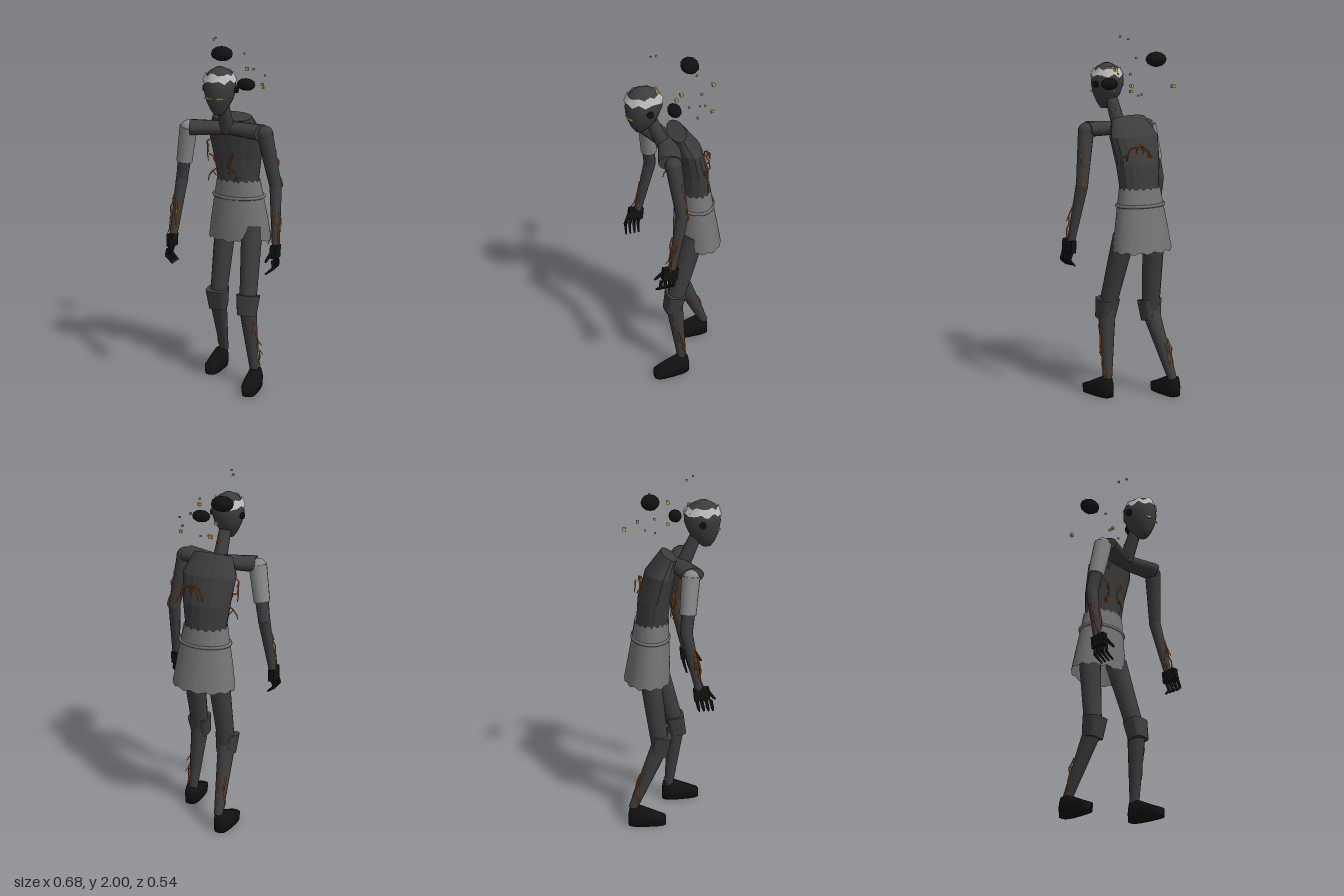
import * as THREE from 'three';

const mat = (name, color, double) => {
  const m = new THREE.MeshStandardMaterial({ color });
  m.name = name;
  if (double) m.side = THREE.DoubleSide;
  return m;
};
const V = (p) => new THREE.Vector3(...p);

export function createModel() {
  const M = {
    body: mat('charcoal body', 0x3c3c3c),
    cloth: mat('grey cloth', 0x747474, true),
    sleeve: mat('pale sleeve', 0x888888, true),
    wrap: mat('light head wrap', 0xb8b8b8, true),
    black: mat('soot black', 0x111111),
    ember: mat('ember orange', 0xc2621c),
    gold: mat('dull gold', 0xc8a455),
  };
  const root = new THREE.Group();
  let seed = 7;
  const rnd = () => ((seed = (seed * 16807) % 2147483647) / 2147483647) * 2 - 1;

  const add = (name, geo, material, pos = [0, 0, 0], parent = root) => {
    const m = new THREE.Mesh(geo, material);
    m.name = name;
    m.position.set(...pos);
    parent.add(m);
    return m;
  };

  // Surface through elliptical rings [y, cz, rx, rz], bottom to top.
  // lift(i, a) shifts ring heights; p < 1 squares the outline.
  function loft(rings, { n = 20, capped = true, lift = () => 0, p = 1, flat = false } = {}) {
    const pos = [], idx = [];
    const pw = (v) => Math.sign(v) * Math.abs(v) ** p;
    rings.forEach(([y, cz, rx, rz], i) => {
      for (let j = 0; j < n; j++) {
        const a = (j / n) * Math.PI * 2;
        pos.push(rx * pw(Math.sin(a)), y + lift(i, a, j), cz + rz * pw(Math.cos(a)));
      }
    });
    for (let i = 0; i < rings.length - 1; i++)
      for (let j = 0; j < n; j++) {
        const k = (j + 1) % n, a = i * n + j, b = i * n + k;
        idx.push(a, b, b + n, a, b + n, a + n);
      }
    if (capped) {
      const top = (rings.length - 1) * n;
      for (let j = 1; j < n - 1; j++) idx.push(0, j + 1, j, top, top + j, top + j + 1);
    }
    let g = new THREE.BufferGeometry();
    g.setAttribute('position', new THREE.Float32BufferAttribute(pos, 3));
    g.setIndex(idx);
    if (flat) g = g.toNonIndexed();
    g.computeVertexNormals();
    return g;
  }

  // Tapered cylinder from a to b
  function limb(name, a, b, ra, rb, material, sides = 14, parent = root) {
    const A = V(a), d = V(b).sub(A);
    const m = add(name, new THREE.CylinderGeometry(rb, ra, d.length(), sides), material, [0, 0, 0], parent);
    m.position.copy(A).addScaledVector(d, 0.5);
    m.quaternion.setFromUnitVectors(new THREE.Vector3(0, 1, 0), d.normalize());
    return m;
  }
  const ball = (name, c, r, material) => add(name, new THREE.SphereGeometry(r, 14, 10), material, c);

  // Glowing crack: a jittered chain of thin sticks along a few points, with short branches
  function crack(name, points, jitter = 0.012, steps = 3) {
    const g = new THREE.Group();
    g.name = name;
    root.add(g);
    let prev = points[0];
    for (let s = 1; s < points.length; s++)
      for (let k = 1; k <= steps; k++) {
        const q = points[s - 1].map((v, i) => v + (points[s][i] - v) * (k / steps) + rnd() * jitter);
        limb('crackPiece', prev, q, 0.004, 0.004, M.ember, 5, g);
        if (k % 2) limb('crackBranch', q, [q[0] + rnd() * 0.02, q[1] - 0.03, q[2] + rnd() * 0.02], 0.0035, 0.002, M.ember, 5, g);
        prev = q;
      }
  }

  // Stooped torso
  add('torso', loft([
    [1.15, -0.097, 0.115, 0.088], [1.31, -0.085, 0.138, 0.09], [1.46, -0.05, 0.158, 0.082],
    [1.555, -0.003, 0.115, 0.042],
  ], { n: 16, flat: true, lift: (i, a) => (i === 3 ? -0.02 * Math.cos(a) : 0) }), M.body);

  // Ragged skirt with a notch at the front, and its belt
  add('skirt', loft([
    [0.84, -0.125, 0.182, 0.128], [0.96, -0.115, 0.165, 0.116], [1.09, -0.105, 0.142, 0.102], [1.185, -0.098, 0.124, 0.094],
  ], {
    n: 48, capped: false,
    lift: (i, a, j) => {
      if (i === 3) return 0.009 * Math.sin(j * 2.3);
      return i === 0 ? 0.007 * Math.sin(j * 1.7) + 0.05 * Math.exp(-(((a - 0.55) / 0.25) ** 4)) : 0;
    },
  }), M.cloth);
  const belt = add('belt', new THREE.TorusGeometry(1, 0.06, 8, 32), M.cloth, [0, 1.09, -0.105]);
  belt.rotation.x = Math.PI / 2;
  belt.scale.set(0.146, 0.104, 0.16);

  // Neck and head
  limb('neck', [0, 1.49, 0.07], [0, 1.65, 0.14], 0.04, 0.034, M.body);
  add('head', loft([
    [1.6, 0.2, 0.022, 0.025], [1.63, 0.195, 0.045, 0.052], [1.68, 0.185, 0.071, 0.083], [1.74, 0.178, 0.087, 0.1],
    [1.79, 0.176, 0.081, 0.095], [1.83, 0.18, 0.057, 0.067], [1.853, 0.182, 0.018, 0.02],
  ]), M.body);
  add('headWrap', loft([[1.78, 0.177, 0.09, 0.105], [1.82, 0.18, 0.071, 0.083]], {
    n: 18, capped: false, lift: (i, a, j) => 0.012 * Math.sin(j * 2.6 + i),
  }), M.wrap);
  add('mouth', new THREE.BoxGeometry(0.035, 0.018, 0.03), M.black, [0, 1.615, 0.212]);
  for (const s of [1, -1]) {
    limb('ear', [s * 0.08, 1.735, 0.17], [s * 0.097, 1.735, 0.17], 0.018, 0.018, M.black);
    const eye = add('eye', new THREE.BoxGeometry(0.04, 0.008, 0.009), M.gold, [s * 0.033, 1.695, 0.264]);
    eye.rotation.y = s * 0.35;
  }

  // Shoulders, arms and hands
  for (const s of [1, -1]) {
    const side = s > 0 ? 'left' : 'right';
    const bar = limb(side + 'Collarbone', [0, 1.5, 0.045], [s * 0.205, 1.498, 0.1], 0.055, 0.066, M.body);
    // flatten the bar vertically
    const flat = new THREE.Group();
    flat.name = side + 'Shoulder';
    flat.position.y = 1.5;
    flat.scale.y = 0.65;
    bar.position.y -= 1.5;
    root.add(flat);
    flat.add(bar);

    const sh = [s * 0.222, 1.49, 0.09], el = [s * 0.275, 1.2, 0.06], wr = [s * 0.302, 0.89, 0.125];
    ball(side + 'ShoulderJoint', sh, 0.046, s > 0 ? M.body : M.sleeve);
    limb(side + 'UpperArm', sh, el, 0.044, 0.033, M.body);
    if (s < 0) limb('sleeve', [-0.22, 1.5, 0.09], [-0.256, 1.3, 0.07], 0.05, 0.045, M.sleeve);
    ball(side + 'Elbow', el, 0.034, M.body);
    limb(side + 'Forearm', el, wr, 0.034, 0.022, M.body);

    add(side + 'Palm', new THREE.BoxGeometry(0.034, 0.07, 0.085), M.black, [s * 0.304, 0.86, 0.14]).rotation.x = -0.1;
    for (let f = 0; f < 4; f++) {
      const z = 0.115 + f * 0.025;
      const mid = [s * 0.316, 0.782, z + 0.008];
      limb(side + 'Finger', [s * 0.307, 0.822, z], mid, 0.01, 0.009, M.black, 7);
      limb(side + 'Fingertip', mid, [s * 0.272, 0.745, z + 0.018], 0.009, 0.005, M.black, 7);
    }
    limb(side + 'Thumb', [s * 0.3, 0.87, 0.175], [s * 0.275, 0.815, 0.218], 0.012, 0.006, M.black, 7);

    crack(side + 'ForearmCrack', [[s * 0.3, 1.14, 0.085], [s * 0.322, 1.03, 0.11], [s * 0.315, 0.92, 0.14]], 0.01);
    crack(side + 'InnerArmCrack', [[s * 0.285, 1.08, 0.12], [s * 0.28, 0.93, 0.135]], 0.01);
  }
  crack('upperArmCrack', [[0.275, 1.4, 0.06], [0.285, 1.3, 0.04], [0.3, 1.2, 0.04]], 0.008);

  // Legs in mid stride, left one forward
  const legs = [
    ['left', 0.09, [0.112, 0.49, 0.05], [0.14, 0.09, 0.01], 0.148],
    ['right', -0.085, [-0.112, 0.47, -0.065], [-0.138, 0.1, -0.225], -0.15],
  ];
  for (const [side, hx, knee, ankle, fx] of legs) {
    const hip = [hx, 0.92, side === 'left' ? -0.075 : -0.12];
    limb(side + 'Thigh', hip, knee, 0.062, 0.048, M.body);
    ball(side + 'Knee', knee, 0.048, M.body);
    limb(side + 'Shin', knee, ankle, 0.05, 0.025, M.body);
    // boxy knee guard leaning with the thigh
    const pad = add(side + 'KneePad', loft([[-0.055, 0, 0.05, 0.045], [0.06, 0, 0.062, 0.053]], { n: 16, p: 0.5, flat: true }),
      M.body, [knee[0], knee[1] + 0.005, knee[2] + 0.003]);
    pad.rotation.x = side === 'left' ? -0.2 : 0.15;
    // shoe, high at the heel
    const shoe = add(side + 'Shoe', loft([
      [0, 0.07, 0.042, 0.108], [0.045, 0.07, 0.047, 0.108], [0.07, 0.042, 0.043, 0.078], [0.105, 0.008, 0.03, 0.038],
    ], { p: 0.65 }), M.black, [fx, 0.003, ankle[2] - (side === 'left' ? 0 : -0.01)]);
    shoe.rotation.y = side === 'left' ? 0.06 : -0.06;
  }
  crack('leftShinCrack', [[0.157, 0.41, 0.07], [0.168, 0.25, 0.03], [0.167, 0.12, 0.0]], 0.008, 4);
  crack('rightShinCrack', [[-0.155, 0.32, -0.16], [-0.163, 0.23, -0.2], [-0.16, 0.14, -0.2]], 0.01);
  crack('rightCalfCrack', [[-0.12, 0.3, -0.18], [-0.135, 0.18, -0.225]], 0.008);

  // Cracks over chest, back and nape
  crack('chestCrackSide', [[-0.08, 1.46, 0.035], [-0.14, 1.41, 0.025], [-0.15, 1.33, 0.005]], 0.008);
  crack('chestCrackRight', [[-0.13, 1.34, 0.02], [-0.085, 1.28, 0.02], [-0.12, 1.22, 0.01]], 0.014);
  crack('chestCrackLeft', [[0.015, 1.35, 0.025], [-0.025, 1.29, 0.03], [0.035, 1.22, 0.025]], 0.012);
  crack('backCrack', [[-0.02, 1.35, -0.18], [0.04, 1.42, -0.165], [0.1, 1.39, -0.15], [0.145, 1.33, -0.115]], 0.012);
  crack('backCrackLow', [[0.05, 1.4, -0.18], [0.0, 1.38, -0.19]], 0.008);
  crack('napeCrack', [[0.015, 1.61, 0.088], [0.02, 1.55, 0.06]], 0.008);

  // Floating dark stones
  const stones = [[-0.105, 1.875, -0.113, 0.063, 0.042, 0.05], [0.096, 1.742, 0.042, 0.053, 0.034, 0.036]];
  for (const [x, y, z, a, b, c] of stones)
    add('floatingStone', new THREE.IcosahedronGeometry(1, 1), M.black, [x, y, z]).scale.set(a, b, c);

  // Drifting gold flecks: x, y, z, size
  const flecks = [
    [-0.105, 1.735, -0.25, 18], [0.115, 1.71, -0.16, 15], [0.013, 1.69, -0.13, 9], [0.03, 1.885, -0.105, 10],
    [0.08, 1.8, -0.115, 12], [0.148, 1.77, -0.108, 9], [-0.008, 1.68, -0.078, 10], [0.155, 1.71, -0.065, 11],
    [-0.018, 1.73, -0.01, 15], [0.085, 1.82, 0, 17], [-0.073, 1.98, 0.082, 10], [-0.047, 1.995, 0.12, 9],
    [0.02, 1.825, 0.11, 17],
  ];
  for (const [x, y, z, s] of flecks)
    add('goldFleck', new THREE.BoxGeometry(s / 1000, s / 1000, s / 1000), M.gold, [x, y, z]);

  return root;
}
